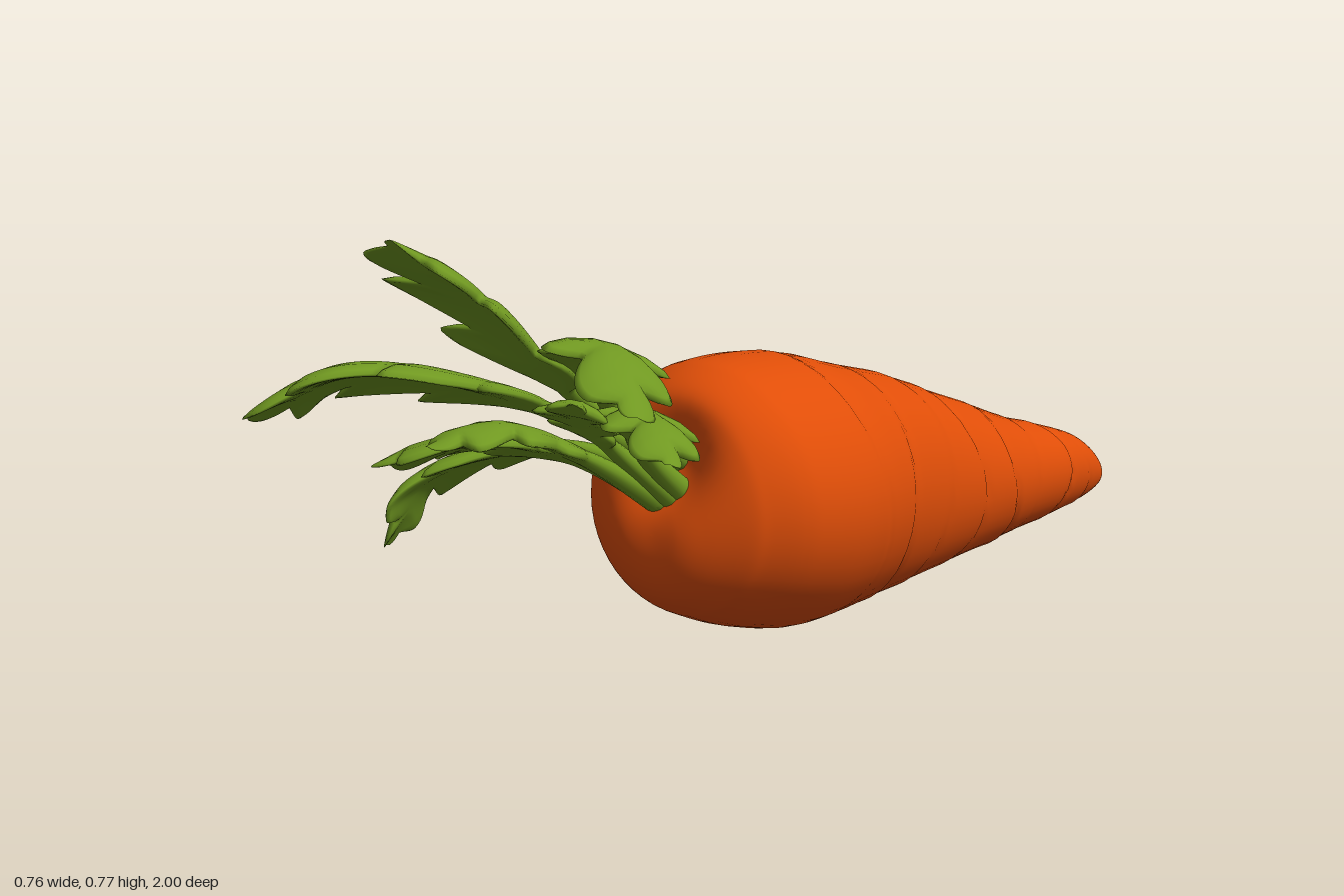
import * as THREE from 'three';

const orange = new THREE.MeshStandardMaterial({ color: 0xe04e08 });
orange.name = 'carrot orange';
const green = new THREE.MeshStandardMaterial({ color: 0x709821 });
green.name = 'leaf green';

// Skin a closed tube of rings; point(t, angle) gives each vertex
function skin(rows, sides, point) {
  const pos = [], idx = [];
  for (let i = 0; i <= rows; i++) {
    for (let j = 0; j < sides; j++) {
      const p = point(i / rows, (j / sides) * Math.PI * 2);
      pos.push(p.x, p.y, p.z);
      if (i === rows) continue;
      const k = (j + 1) % sides;
      const a = i * sides + j, b = i * sides + k;
      idx.push(a, a + sides, b, b, a + sides, b + sides);
    }
  }
  const g = new THREE.BufferGeometry();
  g.setAttribute('position', new THREE.Float32BufferAttribute(pos, 3));
  g.setIndex(idx);
  g.computeVertexNormals();
  return g;
}

// Root cross-sections: z, half width, top, bottom
const sections = [
  [0.492, 0, 0.23, 0.23], [0.49, 0.06, 0.28, 0.165], [0.47, 0.11, 0.34, 0.12],
  [0.43, 0.17, 0.42, 0.085], [0.4, 0.195, 0.46, 0.068], [0.35, 0.225, 0.485, 0.045],
  [0.3, 0.238, 0.493, 0.026], [0.2, 0.243, 0.488, -0.002], [0.1, 0.234, 0.472, -0.01],
  [0, 0.212, 0.44, -0.01], [-0.15, 0.182, 0.393, -0.012], [-0.3, 0.162, 0.335, -0.012],
  [-0.45, 0.143, 0.28, -0.012], [-0.6, 0.118, 0.222, -0.012], [-0.75, 0.096, 0.175, -0.012],
  [-0.86, 0.075, 0.135, -0.01], [-0.95, 0.042, 0.08, -0.005], [-0.99, 0.017, 0.04, 0.005],
  [-1, 0, 0.022, 0.022],
];
const widths = new THREE.SplineCurve(sections.map(s => new THREE.Vector2(s[0], s[1])));
const heights = new THREE.SplineCurve(sections.map(s => new THREE.Vector2(s[2], s[3])));
// Growth rings: z, depth
const creases = [[0.12, 0.35], [-0.02, 0.6], [-0.17, 1.2], [-0.3, 0.8], [-0.46, 1.4], [-0.58, 0.8], [-0.72, 1.4], [-0.82, 1]];

function rootPoint(t, a) {
  const w = widths.getPoint(t), h = heights.getPoint(t);
  let z = w.x, swell = 1;
  // Each wavy ring is a narrow groove with a raised lip in front of it
  creases.forEach(([c, depth], i) => {
    const d = z - c - 0.02 * Math.sin(a * 2 + i * 1.7);
    const strength = depth * (0.6 + 0.4 * Math.sin(a + i * 2.3));
    swell -= 0.045 * strength * Math.exp(-((d / 0.009) ** 2));
    if (d > 0) swell += 0.03 * strength * Math.exp(-d / 0.05);
  });
  swell += 0.008 * Math.sin(a * 3 + z * 9);
  const x = 0.087 - 0.015 * t + Math.cos(a) * w.y * swell;
  const y = (h.x + h.y) / 2 + Math.sin(a) * (h.x - h.y) / 2 * swell;
  // Dimple around the stalks
  if (z > 0.3) z -= 0.06 * Math.exp(-((x - 0.09) ** 2 + (y - 0.34) ** 2) / 0.006);
  return new THREE.Vector3(x, Math.max(y, 0), z);
}

// Leaf with a round stalk and a rolled blade of forward-pointing lobes
const UP = new THREE.Vector3(0, 1, 0);
function leafGeometry(path, width, lobes, stalk, roll) {
  const curve = new THREE.CatmullRomCurve3(path.map(p => new THREE.Vector3(...p)));
  return skin(84, 14, (u, a) => {
    const p = curve.getPointAt(u), T = curve.getTangentAt(u);
    const side = new THREE.Vector3().crossVectors(T, UP).normalize().applyAxisAngle(T, roll);
    const N = new THREE.Vector3().crossVectors(side, T);
    const v = Math.cos(a);
    const s = Math.max(0, (u - stalk) / (1 - stalk));
    const f = (s * lobes + (v > 0 ? 0 : 0.35)) % 1;
    const tooth = f < 0.7 ? Math.sin((f / 0.7) * Math.PI / 2) : Math.cos((f - 0.7) / 0.3 * Math.PI / 2);
    const envelope = width * Math.pow(Math.max(0, Math.sin(Math.PI * Math.pow(s, 0.8))), 0.65);
    const stem = 0.023 * (1 - 0.5 * u) * Math.min(1, (1 - u) * 12);
    const w = Math.max(stem, envelope * (0.45 + 0.55 * tooth));
    const thick = THREE.MathUtils.lerp(0.024, 0.013, Math.min(1, u / stalk)) * Math.min(1, (1 - u) * 8);
    const blade = Math.min(1, s * 6);
    return p.addScaledVector(side, w * v)
      .addScaledVector(N, thick * Math.sin(a) - 0.25 * blade * w * v * v)
      .addScaledVector(T, 0.65 * blade * w * Math.abs(v));
  });
}

// name, spine points, blade half width, lobes per side, stalk fraction, roll
const leaves = [
  ['tallLeaf', [[0.07, 0.34, 0.38], [0.02, 0.45, 0.55], [0, 0.54, 0.65], [-0.04, 0.66, 0.76], [-0.085, 0.765, 0.89]], 0.15, 3.2, 0.4, 0.1],
  ['upperRightLeaf', [[0.06, 0.32, 0.38], [0, 0.43, 0.57], [-0.1, 0.5, 0.7], [-0.23, 0.53, 0.84], [-0.36, 0.46, 0.95]], 0.145, 3.6, 0.36, 0.35],
  ['lowerRightLeaf', [[0.06, 0.29, 0.4], [-0.03, 0.37, 0.53], [-0.14, 0.365, 0.6], [-0.25, 0.31, 0.67], [-0.3, 0.2, 0.71]], 0.1, 3.3, 0.33, 0.35],
  ['upperLeftLeaf', [[0.09, 0.33, 0.38], [0.07, 0.45, 0.55], [0.12, 0.55, 0.65], [0.24, 0.61, 0.76], [0.385, 0.55, 0.87]], 0.105, 3.4, 0.38, -0.3],
  ['lowerLeftLeaf', [[0.11, 0.28, 0.41], [0.11, 0.4, 0.54], [0.17, 0.47, 0.61], [0.26, 0.48, 0.68], [0.34, 0.445, 0.74]], 0.085, 3.2, 0.38, -0.25],
  ['middleLeaf', [[0.08, 0.26, 0.42], [0.05, 0.38, 0.6], [0.03, 0.46, 0.77], [0.01, 0.46, 0.92]], 0.07, 3.3, 0.4, 0],
  ['innerRightLeaf', [[0.09, 0.26, 0.42], [0.02, 0.37, 0.58], [-0.07, 0.42, 0.72], [-0.2, 0.38, 0.83]], 0.095, 3.3, 0.38, 0.3],
  ['innerLeftLeaf', [[0.1, 0.27, 0.42], [0.07, 0.41, 0.58], [0.12, 0.48, 0.69], [0.2, 0.53, 0.8]], 0.07, 3.2, 0.4, -0.2],
];

export function createModel() {
  const model = new THREE.Group();
  model.name = 'carrot';

  const root = new THREE.Mesh(skin(220, 48, rootPoint), orange);
  root.name = 'root';
  model.add(root);

  const tops = new THREE.Group();
  tops.name = 'leafyTop';
  for (const [name, ...shape] of leaves) {
    const leaf = new THREE.Mesh(leafGeometry(...shape), green);
    leaf.name = name;
    tops.add(leaf);
  }
  model.add(tops);
  return model;
}
